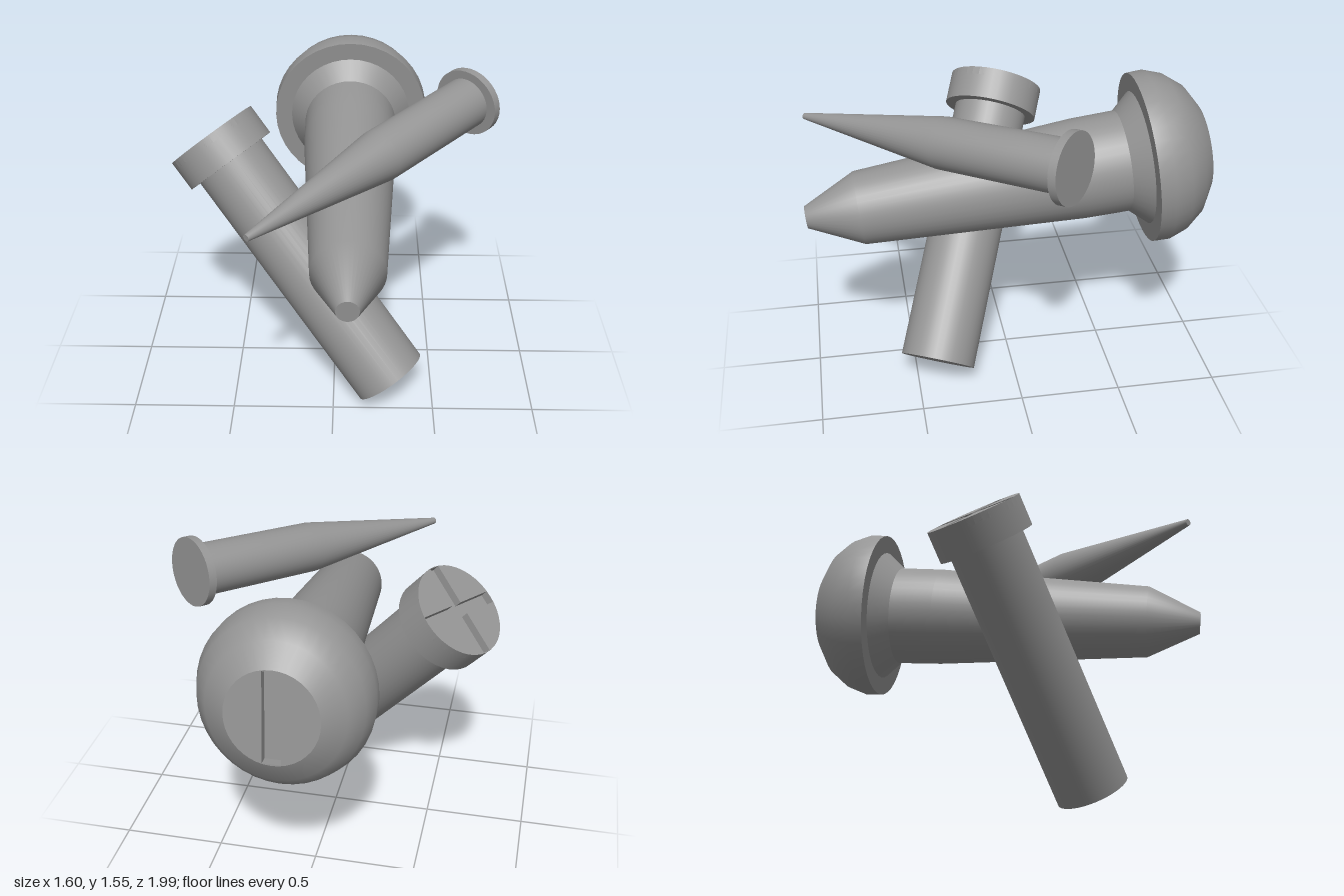
import * as THREE from 'three';

const material = new THREE.MeshStandardMaterial({ color: 0x959595, side: THREE.DoubleSide });
const SEGMENTS = 40;

function addMesh(group, name, geometry) {
  const mesh = new THREE.Mesh(geometry, material);
  mesh.name = name;
  group.add(mesh);
}

// One turned surface from [radius, height] points; edges stay sharp between surfaces
function addTurned(group, name, points) {
  const profile = points.map(([r, y]) => new THREE.Vector2(r, y));
  addMesh(group, name, new THREE.LatheGeometry(profile, SEGMENTS));
}

// Flat face at height y with a recess of the given outline and depth
function addRecessedFace(group, name, radius, y, depth, outline) {
  const face = new THREE.Shape().absarc(0, 0, radius, 0, Math.PI * 2);
  face.holes.push(new THREE.Path(outline.map(([a, b]) => new THREE.Vector2(a, b))));
  const geometry = new THREE.ExtrudeGeometry(face, { depth, bevelEnabled: false, curveSegments: SEGMENTS / 2 });
  geometry.rotateX(-Math.PI / 2).translate(0, y - depth, 0);
  addMesh(group, name, geometry);
  addTurned(group, name + 'Floor', [[radius - 0.002, y - depth], [0, y - depth]]);
}

// Stand the part's y axis on the line from tail to head, its x axis towards side
function place(group, tail, head, side) {
  const start = new THREE.Vector3(...tail);
  const y = new THREE.Vector3(...head).sub(start).normalize();
  const z = new THREE.Vector3(...side).cross(y).normalize();
  const x = y.clone().cross(z);
  group.quaternion.setFromRotationMatrix(new THREE.Matrix4().makeBasis(x, y, z));
  group.position.copy(start);
}

// Pointed screw with a domed head and a single slot
function domedScrew() {
  const g = new THREE.Group();
  g.name = 'domedScrew';
  addTurned(g, 'tipFace', [[0, 0], [0.053, 0]]);
  addTurned(g, 'pointedShaft', [[0.053, 0], [0.174, 0.26], [0.24, 1.35], [0.243, 1.57]]);
  addTurned(g, 'neck', [[0.243, 1.57], [0.32, 1.66]]);
  addTurned(g, 'headUnderside', [[0.32, 1.66], [0.407, 1.66]]);
  addTurned(g, 'headDome', [[0.407, 1.66], [0.41, 1.735], [0.38, 1.825], [0.317, 1.909], [0.215, 1.975]]);
  addRecessedFace(g, 'slottedFace', 0.215, 1.975, 0.045,
    [[-0.043, -0.207], [0.043, -0.207], [0.043, 0.207], [-0.043, 0.207]]);
  place(g, [0.072, 0.913, 0.993], [0.072, 1.132, -0.97], [1, 0, 0]);
  g.scale.z = 1.052;
  return g;
}

// Straight screw with a cylindrical head and a cross slot
function crossScrew() {
  const g = new THREE.Group();
  g.name = 'crossScrew';
  const top = 1.506, under = top - 0.16, r = 0.24;
  addTurned(g, 'endFace', [[0, 0], [0.188, 0]]);
  addTurned(g, 'shaft', [[0.188, 0], [0.188, under]]);
  addTurned(g, 'headUnderside', [[0.188, under], [r, under]]);
  addTurned(g, 'headSide', [[r, under], [r, top]]);
  // Cross outline: one arm repeated by quarter turns
  const w = 0.03, l = 0.236, cross = [];
  for (let i = 0; i < 4; i++) {
    const c = Math.round(Math.cos(i * Math.PI / 2)), s = Math.round(Math.sin(i * Math.PI / 2));
    for (const [a, b] of [[l, -w], [l, w], [w, w]]) cross.push([a * c - b * s, a * s + b * c]);
  }
  addRecessedFace(g, 'crossFace', r, top, 0.04, cross);
  place(g, [0.285, 0.128, 0.4], [-0.61, 1.253, -0.05], [0.29, 0.312, 0.21]);
  return g;
}

// Slender nail with a thin flat head
function nail() {
  const g = new THREE.Group();
  g.name = 'nail';
  const top = 1.549, under = top - 0.04, r = 0.168;
  addTurned(g, 'tipFace', [[0, 0], [0.016, 0]]);
  addTurned(g, 'pointedShank', [[0.016, 0], [0.125, 0.847], [0.127, under]]);
  const head = new THREE.Group();
  head.name = 'nailHead';
  addTurned(head, 'headUnderside', [[0.1, under], [r, under]]);
  addTurned(head, 'headRim', [[r, under], [r, top]]);
  addTurned(head, 'headFace', [[r, top], [0, top]]);
  head.scale.x = 1.05;
  g.add(head);
  place(g, [-0.35, 1.255, 0.965], [0.67, 1.388, -0.195], [0.75, 0, 0.656]);
  return g;
}

export function createModel() {
  const model = new THREE.Group();
  model.name = 'fasteners';
  model.add(domedScrew(), crossScrew(), nail());
  return model;
}
